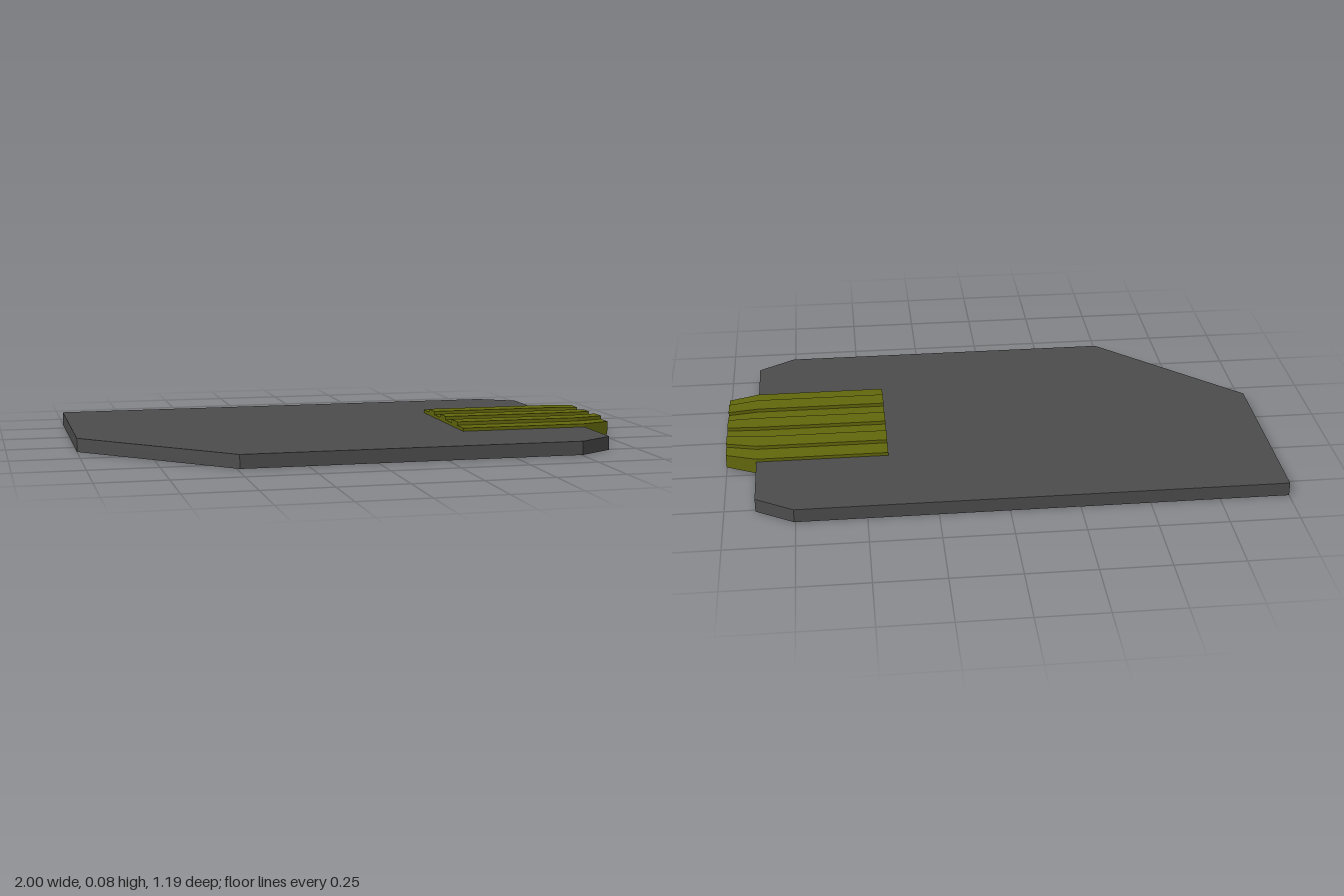
import * as THREE from 'three';

// Solid lofted along x through rings of [z, y] points (counter-clockwise in z, y)
function loft(stations) {
  const n = stations[0].ring.length;
  const positions = [];
  const index = [];
  for (const { x, ring } of stations) for (const [z, y] of ring) positions.push(x, y, z);
  for (let s = 0; s < stations.length - 1; s++) {
    for (let i = 0; i < n; i++) {
      const a = s * n + i, b = s * n + (i + 1) % n;
      index.push(a, a + n, b + n, a, b + n, b);
    }
  }
  // End caps
  const cap = (s, flip) => {
    const pts = stations[s].ring.map(([z, y]) => new THREE.Vector2(z, y));
    for (const [a, b, c] of THREE.ShapeUtils.triangulateShape(pts, [])) {
      const o = s * n;
      if (flip) index.push(o + a, o + c, o + b);
      else index.push(o + a, o + b, o + c);
    }
  };
  cap(0, false);
  cap(stations.length - 1, true);
  const indexed = new THREE.BufferGeometry();
  indexed.setAttribute('position', new THREE.Float32BufferAttribute(positions, 3));
  indexed.setIndex(index);
  const geometry = indexed.toNonIndexed();
  geometry.computeVertexNormals();
  return geometry;
}

export function createModel() {
  const group = new THREE.Group();
  const add = (name, geometry, color) => {
    const mesh = new THREE.Mesh(geometry, new THREE.MeshStandardMaterial({ color, flatShading: true }));
    mesh.name = name;
    group.add(mesh);
  };

  // Flat board with one large cut corner and two small chamfers, drawn as (x, -z)
  const outline = [
    [-1, -0.105], [-0.49, -0.595], [0.755, -0.595], [0.89, -0.51],
    [0.89, 0.51], [0.755, 0.595], [-1, 0.595],
  ];
  const shape = new THREE.Shape(outline.map(([x, y]) => new THREE.Vector2(x, y)));
  const board = new THREE.ExtrudeGeometry(shape, { depth: 0.05, bevelEnabled: false });
  board.rotateX(-Math.PI / 2);
  add('board', board, 0x4d4d4d);

  // Edge connector: seven lengthwise strips, every second one raised
  const centre = 0.0125, strips = 7;
  const section = (halfWidth, bottom) => {
    const ring = [[centre - halfWidth, bottom], [centre + halfWidth, bottom]];
    const width = 2 * halfWidth / strips;
    for (let i = 0; i < strips; i++) {
      const y = i % 2 ? 0.075 : 0.062;
      const z = centre + halfWidth - i * width;
      ring.push([z, y], [z - width, y]);
    }
    return ring;
  };
  add('edgeConnector', loft([
    { x: 0.41, ring: section(0.2575, 0.03) },
    { x: 0.89, ring: section(0.2575, 0.003) },
    { x: 1, ring: section(0.218, 0.012) },
  ]), 0x63680b);

  return group;
}
